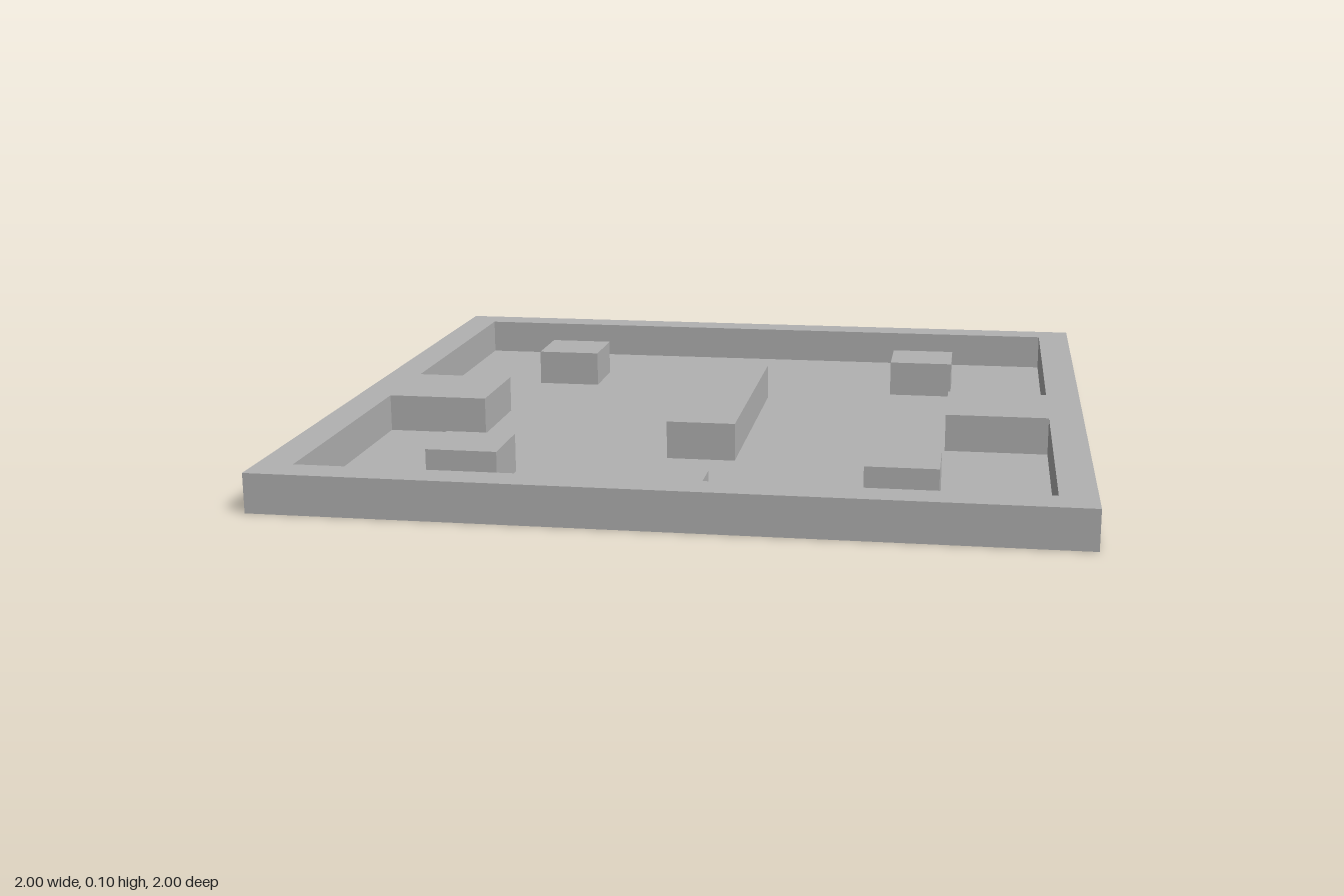
import * as THREE from 'three';
import { mergeGeometries } from 'three/addons/utils/BufferGeometryUtils.js';

const U = 1 / 11; // layout grid unit
const H = 0.1;    // height of the raised parts

// The tray is a thin folded shell, open beneath its raised parts.
const grey = new THREE.MeshStandardMaterial({ color: 0xb2b2b2, side: THREE.DoubleSide });
grey.name = 'plain grey';

// Plan outlines are [x, z] in grid units, counter-clockwise seen from above.
const rect = (x0, x1, z0, z1) => [[x0, z1], [x1, z1], [x1, z0], [x0, z0]];
const toPoints = (outline) => outline.map(([x, z]) => new THREE.Vector2(x * U, -z * U));

// Horizontal face at height y, with optional holes
function plate(outline, y, holes = []) {
  const shape = new THREE.Shape(toPoints(outline));
  for (const hole of holes) shape.holes.push(new THREE.Path(toPoints(hole).reverse()));
  return new THREE.ShapeGeometry(shape).rotateX(-Math.PI / 2).translate(0, y, 0);
}

// Vertical band of flat faces following an outline, facing outward (or inward)
function walls(outline, inward = false) {
  const pts = toPoints(outline);
  if (inward) pts.reverse();
  return mergeGeometries(pts.map((a, i) => {
    const b = pts[(i + 1) % pts.length];
    const d = b.clone().sub(a);
    return new THREE.PlaneGeometry(d.length(), H)
      .rotateY(d.angle())
      .translate((a.x + b.x) / 2, H / 2, -(a.y + b.y) / 2);
  }));
}

export function createModel() {
  const group = new THREE.Group();
  group.name = 'tray';
  const add = (name, ...parts) => {
    const mesh = new THREE.Mesh(mergeGeometries(parts), grey);
    mesh.name = name;
    group.add(mesh);
  };

  const outer = rect(-11, 11, -11, 11);

  // Inner edge of the rim: a tab on each side and a small one at the front
  const half = [[1, 10], [10, 10], [10, 2], [7, 2], [7, -1], [10, -1], [10, -10]];
  const inner = [...half, ...half.map(([x, z]) => [-x, z]).reverse()];
  inner.push([-1, 9], [1, 9]);

  // Raised blocks: four square posts and a central bar
  const blocks = [['centralBar', rect(-1, 1, -4, 4)]];
  for (const [side, x] of [['Left', 5], ['Right', -7]]) {
    blocks.push(['back' + side + 'Post', rect(x, x + 2, -7, -5)]);
    blocks.push(['front' + side + 'Post', rect(x, x + 2, 6, 8)]);
  }

  add('rim', plate(outer, H, [inner]), walls(outer), walls(inner, true));
  add('floor', plate(inner, 0, blocks.map(([, outline]) => outline)));
  for (const [name, outline] of blocks) add(name, plate(outline, H), walls(outline));

  return group;
}
